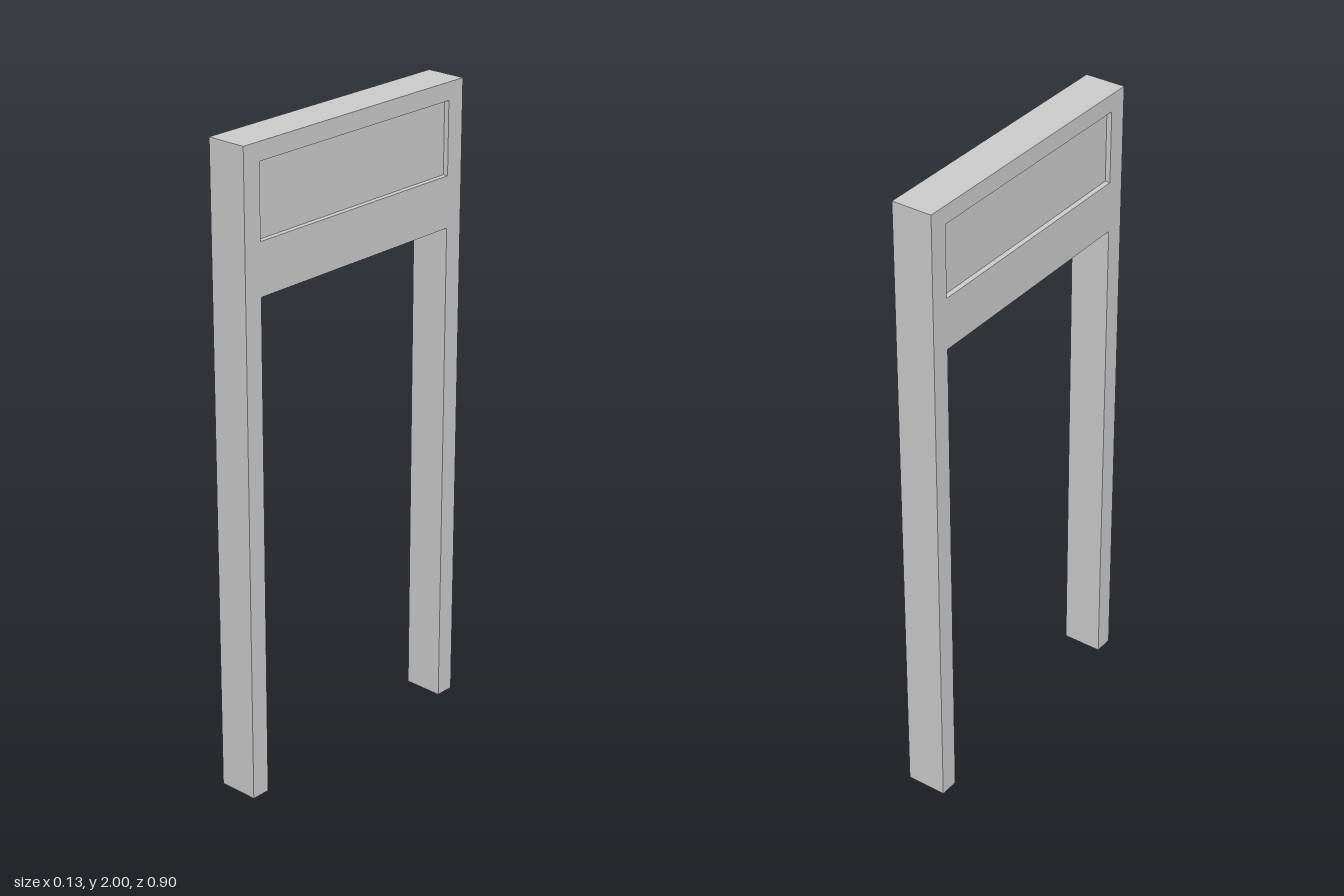
import * as THREE from 'three';

const T = 0.127;      // thickness along x
const HZ = 0.4485;    // half width along z
const IZ = 0.388;     // half width of the opening
const LINTEL = 1.56;  // underside of the lintel
const RECESS = 0.016; // depth of the recessed panels

// Removes the faces lying on the ground, leaving the hollow legs open
function openBottom(geometry) {
  const src = geometry.index ? geometry.toNonIndexed() : geometry;
  const p = src.attributes.position;
  const kept = [];
  for (let i = 0; i < p.count; i += 3) {
    if (Math.max(p.getY(i), p.getY(i + 1), p.getY(i + 2)) < 1e-4) continue;
    for (let k = i; k < i + 3; k++) kept.push(p.getX(k), p.getY(k), p.getZ(k));
  }
  const out = new THREE.BufferGeometry();
  out.setAttribute('position', new THREE.Float32BufferAttribute(kept, 3));
  out.computeVertexNormals();
  return out;
}

export function createModel() {
  const group = new THREE.Group();
  group.name = 'doorFrame';
  const material = new THREE.MeshStandardMaterial({
    color: 0xcccccc, flatShading: true, side: THREE.DoubleSide,
  });

  // Frame outline: two legs joined by a deep lintel
  const outline = new THREE.Shape([
    [-HZ, 0], [-IZ, 0], [-IZ, LINTEL], [IZ, LINTEL],
    [IZ, 0], [HZ, 0], [HZ, 2], [-HZ, 2],
  ].map(([x, y]) => new THREE.Vector2(x, y)));

  // Window in the lintel that holds the recessed panel
  const y0 = 1.72, y1 = 1.945;
  outline.holes.push(new THREE.Path([
    [-IZ, y0], [-IZ, y1], [IZ, y1], [IZ, y0],
  ].map(([x, y]) => new THREE.Vector2(x, y))));

  const geometry = new THREE.ExtrudeGeometry(outline, { depth: T, bevelEnabled: false });
  geometry.translate(0, 0, -T / 2).rotateY(Math.PI / 2);
  const frame = new THREE.Mesh(openBottom(geometry), material);
  frame.name = 'legsAndLintel';
  group.add(frame);

  // Panel set back from both faces
  const panel = new THREE.Mesh(
    new THREE.BoxGeometry(T - 2 * RECESS, y1 - y0, 2 * IZ), material);
  panel.name = 'recessedPanel';
  panel.position.y = (y0 + y1) / 2;
  group.add(panel);

  return group;
}
